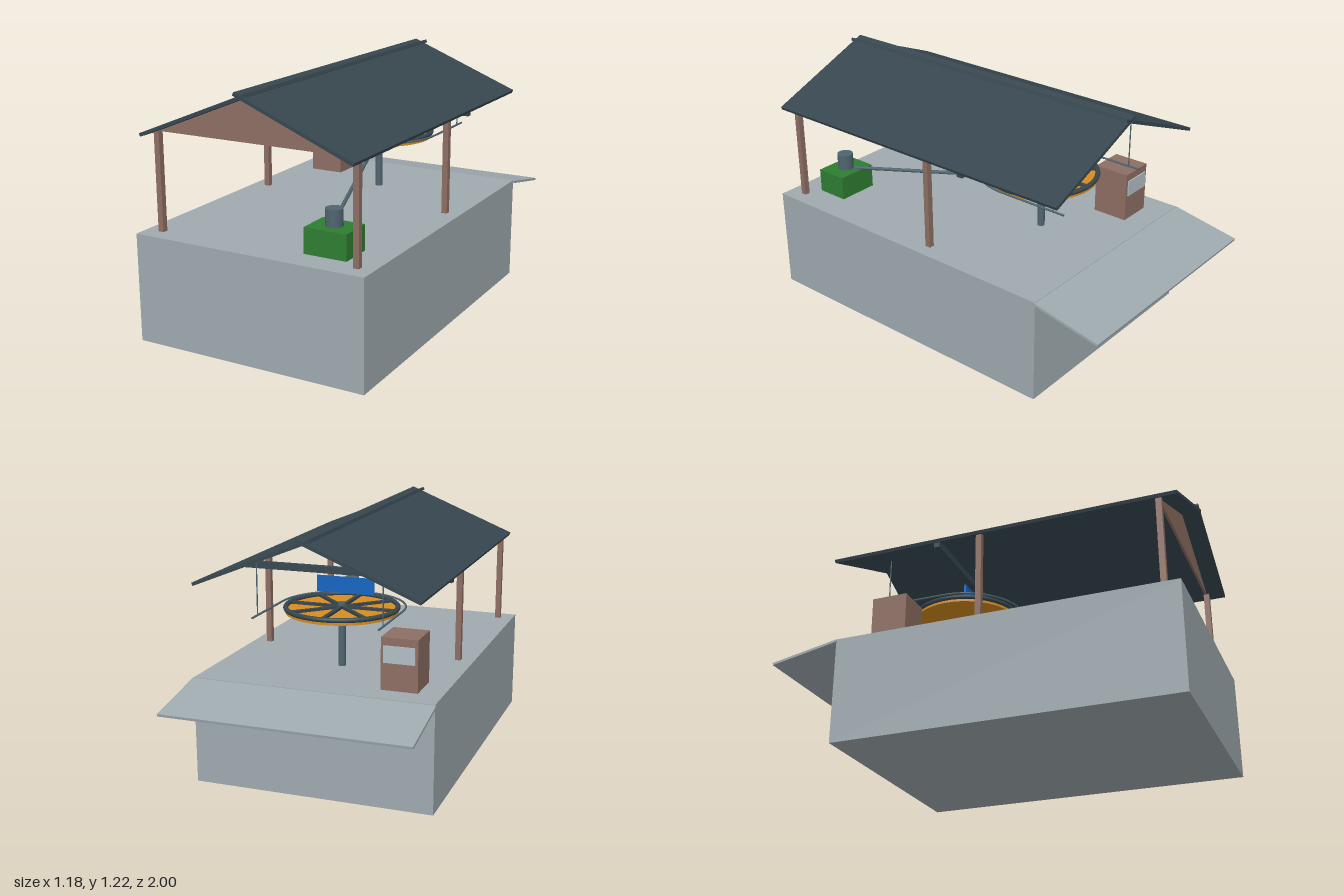
import * as THREE from 'three';

const material = (name, color) => {
  const m = new THREE.MeshStandardMaterial({ color });
  m.name = name;
  return m;
};

export function createModel() {
  const concrete = material('concrete', 0x9ea9ae);
  const slate = material('roof slate', 0x37474f);
  const steel = material('steel', 0x4f646e);
  const wood = material('brown wood', 0x8d6e63);
  const green = material('drive green', 0x2e7d32);
  const amber = material('wheel amber', 0xd68c20);
  const blue = material('sign blue', 0x1565c0);
  const glass = material('window grey', 0xb0bec5);

  const model = new THREE.Group();
  model.name = 'liftStation';

  const add = (name, geometry, mat, x = 0, y = 0, z = 0, parent = model) => {
    const mesh = new THREE.Mesh(geometry, mat);
    mesh.name = name;
    mesh.position.set(x, y, z);
    parent.add(mesh);
    return mesh;
  };
  // Box given by its lower and upper limits on each axis
  const box = (name, mat, [x0, x1], [y0, y1], [z0, z1]) =>
    add(name, new THREE.BoxGeometry(x1 - x0, y1 - y0, z1 - z0), mat,
      (x0 + x1) / 2, (y0 + y1) / 2, (z0 + z1) / 2);
  // Upright cylinder between two heights
  const drum = (name, mat, r, y0, y1, x, z, sides = 32) =>
    add(name, new THREE.CylinderGeometry(r, r, y1 - y0, sides), mat, x, (y0 + y1) / 2, z);
  // Cylinder between two points
  const rod = (name, mat, r, from, to) => {
    const a = new THREE.Vector3(...from), b = new THREE.Vector3(...to);
    const dir = b.clone().sub(a);
    const mesh = add(name, new THREE.CylinderGeometry(r, r, dir.length(), 12), mat);
    mesh.position.copy(a).add(b).multiplyScalar(0.5);
    mesh.quaternion.setFromUnitVectors(new THREE.Vector3(0, 1, 0), dir.normalize());
  };

  // Platform and sloping exit ramp
  const deck = 0.52;
  box('platform', concrete, [-0.585, 0.585], [0, deck], [-0.66, 1]);
  const ramp = add('exitRamp', new THREE.BoxGeometry(1.18, 0.012, 0.35), concrete, 0, 0.479, -0.828);
  ramp.rotation.x = -Math.atan2(0.066, 0.34);

  // Roof: two slabs that cross at the ridge
  for (const side of [1, -1]) {
    const slab = add('roofSlab', new THREE.BoxGeometry(0.615, 0.016, 1.73), slate,
      side * 0.252, 1.0985, 0.135);
    slab.rotation.z = -side * Math.atan2(0.231, 0.57);
  }

  // Posts, cross beam and front gable
  for (const x of [-0.505, 0.505])
    for (const z of [0.91, 0.035])
      box('roofPost', wood, [x - 0.014, x + 0.014], [deck, 0.99], [z - 0.014, z + 0.014]);
  box('crossBeam', slate, [-0.525, 0.525], [0.955, 0.988], [-0.195, -0.165]);
  const triangle = new THREE.Shape([
    new THREE.Vector2(-0.51, 0.988), new THREE.Vector2(0.51, 0.988), new THREE.Vector2(0, 1.197)]);
  add('frontGable', new THREE.ExtrudeGeometry(triangle, { depth: 0.012, bevelEnabled: false }),
    wood, 0, 0, 0.9);

  // Hanging sign board
  box('signBoard', blue, [-0.145, 0.145], [0.867, 0.946], [-0.201, -0.192]);

  // Cable wheel on its column
  const wheelZ = -0.245;
  drum('wheelColumn', steel, 0.018, deck, 0.835, 0, wheelZ);
  drum('wheelDisc', amber, 0.27, 0.789, 0.806, 0, wheelZ, 48);
  const rim = add('wheelRim', new THREE.TorusGeometry(0.268, 0.012, 12, 64), slate, 0, 0.813, wheelZ);
  rim.rotation.x = Math.PI / 2;
  for (let i = 0; i < 4; i++) {
    const spokes = add('spokePair', new THREE.BoxGeometry(0.53, 0.014, 0.018), slate, 0, 0.812, wheelZ);
    spokes.rotation.y = (i * Math.PI) / 4;
  }

  // Cable: half loop round the front of the wheel with two straight runs to the back
  const reach = 0.305, cableY = 0.815;
  const loop = add('cableLoop', new THREE.TorusGeometry(reach, 0.005, 8, 48, Math.PI), steel,
    0, cableY, wheelZ);
  loop.rotation.x = Math.PI / 2;
  for (const x of [-reach, reach]) {
    rod('cableRun', steel, 0.005, [x, cableY, wheelZ], [x, cableY, -0.6]);
    rod('cableHanger', steel, 0.003, [x, cableY, -0.54], [x, 1.075, -0.54]);
  }

  // Drive unit with motor and shaft up to the wheel
  box('driveHousing', green, [0.22, 0.43], [deck, 0.64], [0.705, 0.87]);
  drum('driveMotor', steel, 0.04, 0.64, 0.72, 0.325, 0.787);
  rod('driveShaft', steel, 0.009, [0, 0.776, wheelZ], [0.3, 0.64, 0.75]);

  // Operator booth with a window at the back
  box('operatorBooth', wood, [-0.47, -0.295], [deck, 0.767], [-0.54, -0.36]);
  box('boothWindow', glass, [-0.457, -0.308], [0.65, 0.73], [-0.546, -0.538]);

  return model;
}
